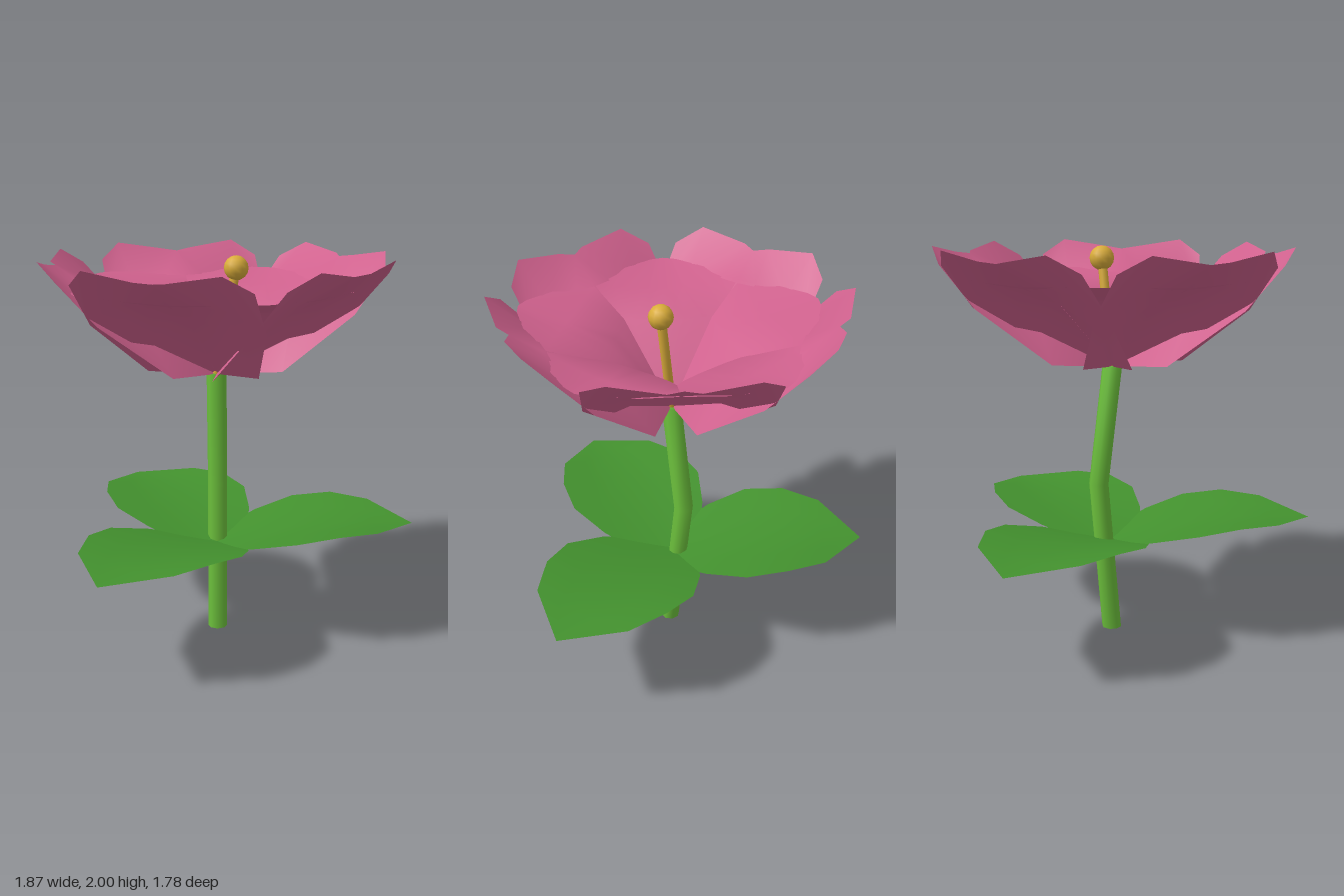
import * as THREE from 'three';
import { mergeVertices } from 'three/addons/utils/BufferGeometryUtils.js';

const AXIS_X = -0.1; // the plant's axis sits slightly off centre

const mat = (name, color, side = THREE.FrontSide) => {
  const m = new THREE.MeshStandardMaterial({ color, side });
  m.name = name;
  return m;
};

// Mirrored sheet: each row lists [out, side, height] from the midline to one edge
function sheet(rows) {
  const pos = [], idx = [];
  const cols = rows[0].length * 2 - 1;
  for (const row of rows) {
    const full = [...row.slice(1).reverse().map(([a, w, y]) => [a, -w, y]), ...row];
    for (const [a, w, y] of full) pos.push(a, y, w);
  }
  for (let r = 0; r < rows.length - 1; r++) {
    for (let c = 0; c < cols - 1; c++) {
      const i = r * cols + c, j = i + cols;
      // mirror the diagonals so both halves match
      if (c < (cols - 1) / 2) idx.push(i, i + 1, j + 1, i, j + 1, j);
      else idx.push(i, i + 1, j, i + 1, j + 1, j);
    }
  }
  let g = new THREE.BufferGeometry();
  g.setAttribute('position', new THREE.Float32BufferAttribute(pos, 3));
  g.setIndex(idx);
  g = mergeVertices(g);
  g.computeVertexNormals();
  return g;
}

// Stack of rings joined along a bent centre line, softly shaded
function bentRod(points, radius, sides) {
  const n = points.length - 1;
  let g = new THREE.CylinderGeometry(radius, radius, 1, sides, n);
  const p = g.attributes.position;
  for (let i = 0; i < p.count; i++) {
    const c = points[Math.round((p.getY(i) + 0.5) * n)];
    p.setXYZ(i, p.getX(i) + c[0], c[1], p.getZ(i) + c[2]);
  }
  g.deleteAttribute('normal');
  g.deleteAttribute('uv');
  g = mergeVertices(g);
  g.computeVertexNormals();
  return g;
}

export function createModel() {
  const model = new THREE.Group();
  model.name = 'flower';
  const pink = mat('petalPink', 0xcf618d, THREE.DoubleSide);
  const leafGreen = mat('leafGreen', 0x43912e, THREE.DoubleSide);
  const stemGreen = mat('stemGreen', 0x6cc03c);
  const yellow = mat('pollenYellow', 0xd9ac3a);

  const plant = new THREE.Group();
  plant.name = 'plant';
  plant.position.x = AXIS_X;
  model.add(plant);
  const add = (name, geometry, material, angle = 0) => {
    const m = new THREE.Mesh(geometry, material);
    m.name = name;
    m.rotation.y = angle;
    plant.add(m);
    return m;
  };

  // Stem with a bend towards the back
  add('stem', bentRod([[0, 0.005, 0], [0, 0.8, -0.08], [0, 1.405, 0]], 0.051, 8), stemGreen);

  // Pistil leaning to one side, with a round tip
  add('pistilStalk', bentRod([[0, 1.4, 0], [0.1, 1.94, 0]], 0.024, 8), yellow);
  add('pistilTip', new THREE.SphereGeometry(0.062, 12, 8), yellow).position.set(0.1, 1.938, 0);

  // Three broad leaves, cupped along the midrib
  const leaf = sheet([
    [0, 0.17, 0.49, 0.495], [0.2, 0.31, 0.54, 0.565], [0.41, 0.395, 0.58, 0.62],
    [0.62, 0.37, 0.605, 0.65], [0.82, 0.278, 0.61, 0.64], [1.03, 0, 0.6, 0.6],
  ].map(([a, w, mid, edge]) => [
    [a, 0, mid], [a, w / 2, mid + (edge - mid) * 0.4], [a, w, edge],
  ]));
  for (let i = 0; i < 3; i++) add('leaf', leaf, leafGreen, i * Math.PI * 2 / 3);

  // Five notched outer petals, flared at the rim, with sides drooping under their neighbours
  const base = [0, 0, 1.4];
  const outerPetal = sheet([
    [base, base, base, base],
    [[0.38, 0, 1.735], [0.37, 0.09, 1.72], [0.31, 0.2, 1.61], [0.2, 0.29, 1.435]],
    [[0.65, 0, 1.84], [0.65, 0.1, 1.84], [0.63, 0.29, 1.82], [0.54, 0.435, 1.71]],
    [[0.8, 0, 1.95], [0.84, 0.075, 1.96], [0.83, 0.328, 2], [0.73, 0.44, 1.92]],
  ]);
  // Five inner petals filling the gaps: a steep throat, then nearly level
  const innerPetal = sheet([
    [base, base, base, base],
    [[0.29, 0, 1.74], [0.29, 0.08, 1.74], [0.3, 0.18, 1.742], [0.315, 0.235, 1.742]],
    [[0.54, 0, 1.8], [0.54, 0.09, 1.8], [0.53, 0.26, 1.815], [0.505, 0.37, 1.83]],
    [[0.79, 0, 1.86], [0.77, 0.07, 1.86], [0.66, 0.25, 1.85], [0.54, 0.375, 1.84]],
  ]);
  for (let i = 0; i < 5; i++) {
    const angle = Math.PI + i * Math.PI * 2 / 5;
    add('outerPetal', outerPetal, pink, angle);
    add('innerPetal', innerPetal, pink, angle + Math.PI / 5);
  }

  return model;
}
